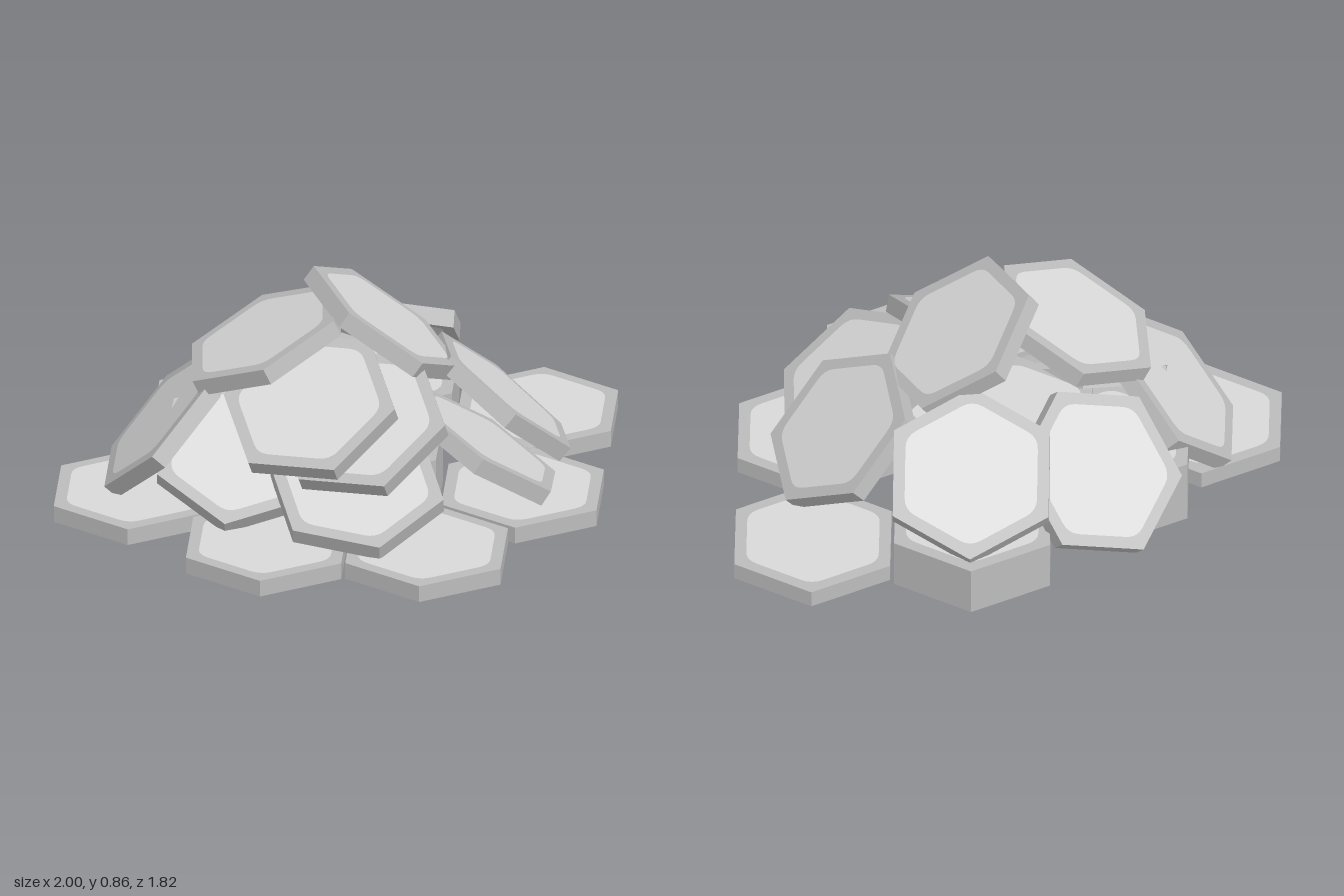
import * as THREE from 'three';
import { toCreasedNormals } from 'three/addons/utils/BufferGeometryUtils.js';

const R = 0.332, T = 0.065;

// Hexagon with softened corners, for the pale panel on each face
function panelShape(r) {
  const s = new THREE.Shape();
  const p = i => new THREE.Vector2(Math.sin(i * Math.PI / 3), Math.cos(i * Math.PI / 3)).multiplyScalar(r);
  for (let i = 0; i < 6; i++) {
    const a = p(i).lerp(p(i + 5), 0.16), b = p(i).lerp(p(i + 1), 0.16), c = p(i);
    if (i) s.lineTo(a.x, a.y); else s.moveTo(a.x, a.y);
    s.quadraticCurveTo(c.x, c.y, b.x, b.y);
  }
  s.closePath();
  return s;
}

export function createModel() {
  const model = new THREE.Group();
  model.name = 'tilePile';
  const rim = new THREE.MeshStandardMaterial({ color: 0xbcbcbc });
  rim.name = 'rim grey';
  const pale = new THREE.MeshStandardMaterial({ color: 0xd8d8d8 });
  pale.name = 'panel pale grey';

  // Shared geometry: top face at y = 0, points along z
  const bodyGeo = toCreasedNormals(new THREE.CylinderGeometry(R, R, T, 6), 0.5);
  bodyGeo.translate(0, -T / 2, 0);
  const topGeo = new THREE.ShapeGeometry(panelShape(R * 0.85), 4);
  topGeo.rotateX(-Math.PI / 2).translate(0, 0.002, 0);
  const underGeo = new THREE.ShapeGeometry(panelShape(R * 0.85), 4);
  underGeo.rotateX(Math.PI / 2).translate(0, -T - 0.001, 0);

  function tile(name, [x, y, z]) {
    const g = new THREE.Group();
    g.name = name;
    const add = (part, geo, mat) => {
      const m = new THREE.Mesh(geo, mat);
      m.name = part;
      g.add(m);
    };
    add('tileBody', bodyGeo, rim);
    add('topPanel', topGeo, pale);
    add('undersidePanel', underGeo, pale);
    g.position.set(x, y, z);
    model.add(g);
    return g;
  }

  // Flat tiles on the ground
  const ground = [
    [-0.71, 0.067, 0.2], [-0.19, 0.066, 0.575], [0.4, 0.068, 0.575],
    [0.715, 0.075, 0.085], [0.715, 0.076, -0.56],
  ];
  ground.forEach(p => tile('groundTile', p));

  // Upright stacks in the middle: x, z, base height, count
  const stacks = [
    [0.125, -0.58, 0.008, 3], [0.12, 0.085, 0.006, 4],
    [-0.375, -0.155, 0.003, 4], [-0.02, -0.18, 0.26, 2],
  ];
  for (const [x, z, base, count] of stacks)
    for (let i = 0; i < count; i++) tile('stackedTile', [x, base + T + i * (T - 0.003), z]);

  // Leaning tiles: centre of the top face, then two directions from it to corners
  const leaning = [
    ['backTile', [0.13, 0.42, -0.61], [0, -0.19, -0.27], [-0.285, -0.09, -0.135]],
    ['backLeftTile', [-0.345, 0.33, -0.465], [0.135, -0.14, -0.265], [-0.295, -0.1, 0.105]],
    ['upperLeftTile', [-0.25, 0.655, 0.045], [-0.03, -0.014, -0.335], [-0.26, -0.122, 0.185]],
    ['peakTile', [0.2, 0.675, -0.085], [-0.15, 0.04, -0.28], [-0.11, 0.14, 0.27]],
    ['upperRightTile', [0.63, 0.325, -0.21], [-0.06, -0.06, -0.31], [0.27, -0.17, 0.15]],
    ['lowerRightTile', [0.59, 0.29, 0.13], [0.01, 0.08, 0.32], [0.27, -0.13, 0.16]],
    ['steepLeftTile', [-0.63, 0.31, 0.08], [0, 0, -0.33], [-0.19, -0.215, 0.165]],
    ['frontLeftTile', [-0.31, 0.28, 0.26], [-0.04, -0.17, 0.28], [-0.25, 0.12, -0.18]],
    ['frontUpperTile', [-0.055, 0.52, 0.33], [0.11, -0.13, 0.27], [-0.22, -0.14, 0.17]],
    ['frontMiddleTile', [0.13, 0.455, 0.32], [0.11, -0.13, 0.27], [-0.22, -0.14, 0.17]],
    ['frontLowerTile', [0.13, 0.245, 0.43], [0.1, -0.11, 0.27], [-0.22, -0.08, 0.21]],
  ];
  for (const [name, centre, u, w] of leaning) {
    const zAxis = new THREE.Vector3(...u).normalize();
    const yAxis = new THREE.Vector3().crossVectors(zAxis, new THREE.Vector3(...w)).normalize();
    if (yAxis.y < 0) yAxis.negate();
    const xAxis = new THREE.Vector3().crossVectors(yAxis, zAxis);
    tile(name, centre).setRotationFromMatrix(new THREE.Matrix4().makeBasis(xAxis, yAxis, zAxis));
  }
  return model;
}
